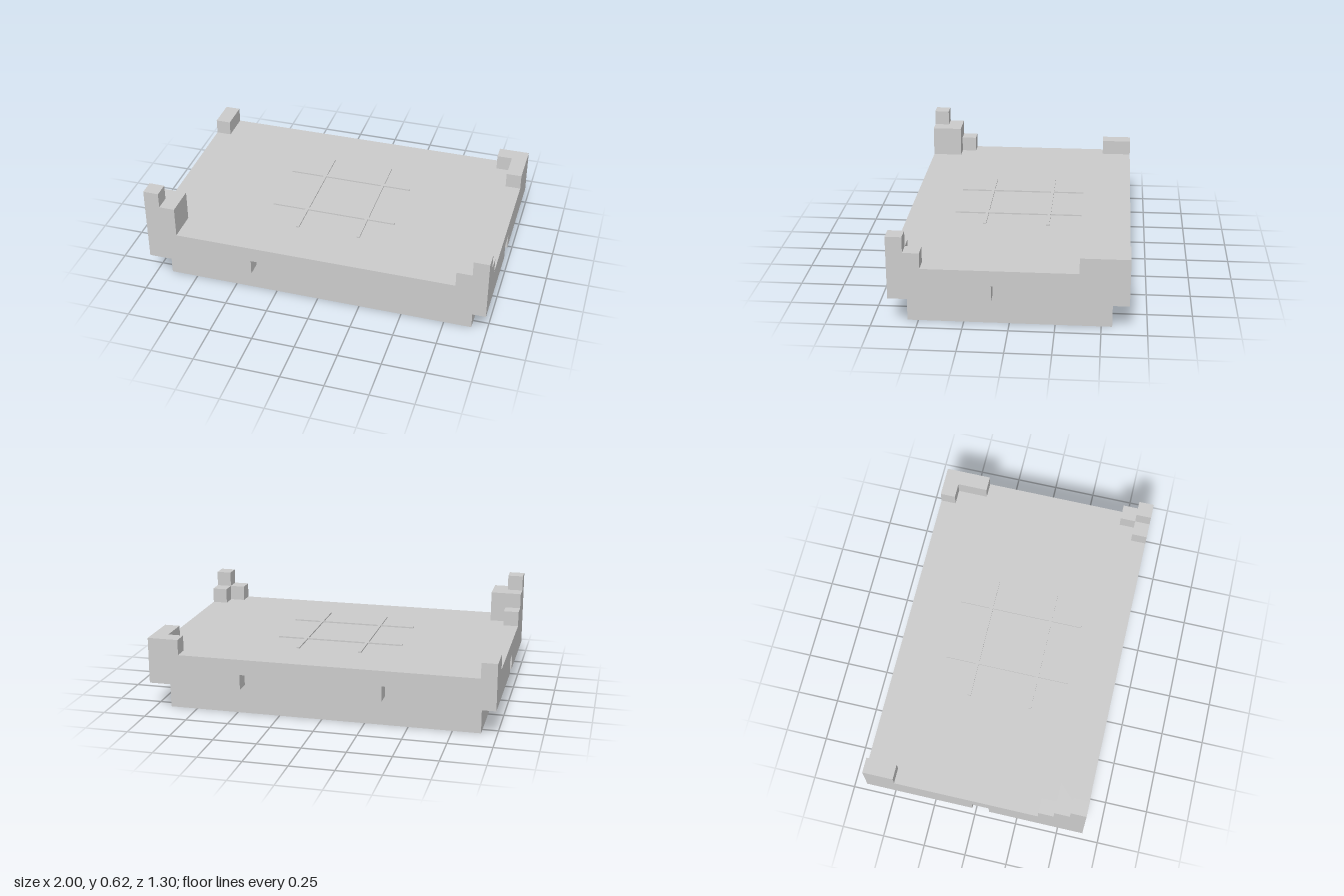
import * as THREE from 'three';

const material = new THREE.MeshStandardMaterial({ color: 0xcccccc, flatShading: true });

// Heights of the stacked layers, one block step apart
const RIM = 0.17, SLAB = 0.26, DECK = 0.35, LOW = 0.44, MID = 0.53, HIGH = 0.62;
// Outer and inner edges of the rim
const X = 1, XI = 0.91, XII = 0.82, Z = 0.65, ZI = 0.56, ZII = 0.47, ZIII = 0.38;

// Box given by its limits on each axis
function block(parent, name, [x0, x1], [y0, y1], [z0, z1]) {
  const mesh = new THREE.Mesh(new THREE.BoxGeometry(x1 - x0, y1 - y0, z1 - z0), material);
  mesh.position.set((x0 + x1) / 2, (y0 + y1) / 2, (z0 + z1) / 2);
  mesh.name = name;
  parent.add(mesh);
}

function subgroup(parent, name) {
  const group = new THREE.Group();
  group.name = name;
  parent.add(group);
  return group;
}

export function createModel() {
  const model = new THREE.Group();
  model.name = 'gameBoard';

  // Plinth and overhanging slab
  block(model, 'base', [-XI, XI], [0, SLAB], [-ZI, ZI]);
  block(model, 'slab', [-X, X], [SLAB, DECK], [-Z, Z]);

  // Rim hanging below the slab, broken by notches
  const rim = subgroup(model, 'rim');
  for (const span of [[-X, -0.37], [0.455, X]]) block(rim, 'frontRim', span, [RIM, SLAB], [ZI, Z]);
  for (const span of [[-X, -0.455], [-0.365, 0.18], [0.455, X]]) {
    block(rim, 'backRim', span, [RIM, SLAB], [-Z, -ZI]);
  }
  for (const span of [[-ZI, -0.01], [0.09, ZI]]) {
    block(rim, 'leftRim', [XI, X], [RIM, SLAB], span);
    block(rim, 'rightRim', [-X, -XI], [RIM, SLAB], span);
  }

  // Stepped corner, front right
  const frontRight = subgroup(model, 'frontRightCorner');
  block(frontRight, 'cornerBlock', [-X, -XII], [DECK, MID], [ZII, Z]);
  block(frontRight, 'cornerTop', [-X, -XI], [MID, HIGH], [ZI, Z]);
  block(frontRight, 'cornerStep', [-X, -XI], [DECK, LOW], [ZIII, ZII]);

  // Small stepped corner, front left
  const frontLeft = subgroup(model, 'frontLeftCorner');
  block(frontLeft, 'cornerPost', [XI, X], [DECK, MID], [ZI, Z]);
  block(frontLeft, 'cornerStep', [XII, XI], [DECK, LOW], [ZI, Z]);
  block(frontLeft, 'cornerStep', [XI, X], [DECK, LOW], [ZII, ZI]);

  // L-shaped corner, back left
  const backLeft = subgroup(model, 'backLeftCorner');
  block(backLeft, 'cornerWall', [XI, X], [DECK, LOW], [-Z, -ZIII]);
  block(backLeft, 'cornerWall', [XII, XI], [DECK, LOW], [-Z, -ZI]);

  // Straight corner bar, back right
  block(model, 'backRightCorner', [-X, -XI], [DECK, LOW], [-Z, -ZII]);

  // Crossed grid bars on the deck
  const grid = subgroup(model, 'gridBars');
  for (const c of [-0.175, 0.19]) {
    block(grid, 'crossBar', [-0.385, 0.36], [DECK, 0.358], [c - 0.009, c + 0.009]);
    block(grid, 'lengthBar', [c - 0.009, c + 0.009], [DECK, 0.358], [-0.365, 0.38]);
  }

  return model;
}
